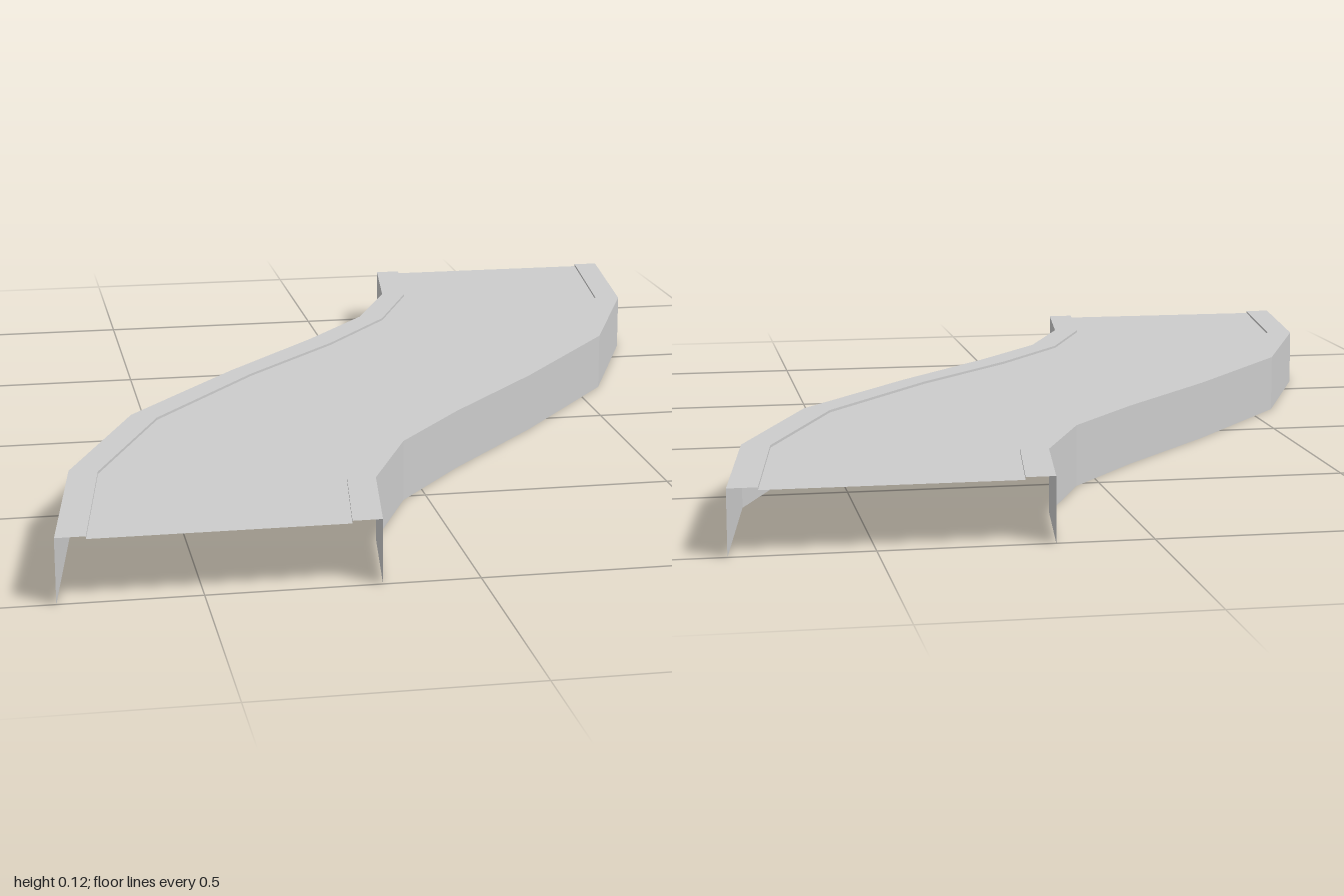
import * as THREE from 'three';

const TOP = 0.122;   // kerb height
const ROAD = 0.117;  // road surface, slightly sunk between the kerbs

// Edge lines of the left (+x) side, from back to front, as [x, z]
const outer = [[0.76, -1], [0.71, -0.605], [0.56, -0.237], [0.315, 0.08], [0.1, 0.33], [-0.05, 0.525], [-0.147, 0.752], [-0.18, 1]];
const inner = [[0.705, -1], [0.656, -0.62], [0.51, -0.267], [0.275, 0.045], [0.06, 0.285], [-0.1, 0.5], [-0.2, 0.74], [-0.235, 1]];

// Half-turn of an edge line, kept in back-to-front order
const halfTurn = (line) => line.map(([x, z]) => [-x, -z]).reverse();
const atHeight = (line, y) => line.map(([x, z]) => [x, y, z]);

const material = new THREE.MeshStandardMaterial({ color: 0xcccccc, flatShading: true, side: THREE.DoubleSide });

// Surface spanned between successive rails with equal point counts
function loft(name, rails) {
  const n = rails[0].length;
  const index = [];
  for (let r = 0; r < rails.length - 1; r++) {
    for (let i = 0; i < n - 1; i++) {
      const a = r * n + i, b = a + n;
      index.push(a, a + 1, b, a + 1, b + 1, b);
    }
  }
  const geometry = new THREE.BufferGeometry();
  geometry.setAttribute('position', new THREE.Float32BufferAttribute(rails.flat(2), 3));
  geometry.setIndex(index);
  geometry.computeVertexNormals();
  const mesh = new THREE.Mesh(geometry, material);
  mesh.name = name;
  return mesh;
}

export function createModel() {
  const group = new THREE.Group();
  group.name = 'curvedRoadSegment';

  // Road surface between the two inner kerb lines
  group.add(loft('roadSurface', [atHeight(halfTurn(inner), ROAD), atHeight(inner, ROAD)]));

  // Kerb with its small inner step, and the side wall below; repeated by a half-turn
  for (const [side, angle] of [['left', 0], ['right', Math.PI]]) {
    const kerb = loft(side + 'Kerb', [atHeight(inner, ROAD), atHeight(inner, TOP), atHeight(outer, TOP)]);
    const wall = loft(side + 'Wall', [atHeight(outer, TOP), atHeight(outer, 0)]);
    kerb.rotation.y = wall.rotation.y = angle;
    group.add(kerb, wall);
  }
  return group;
}
